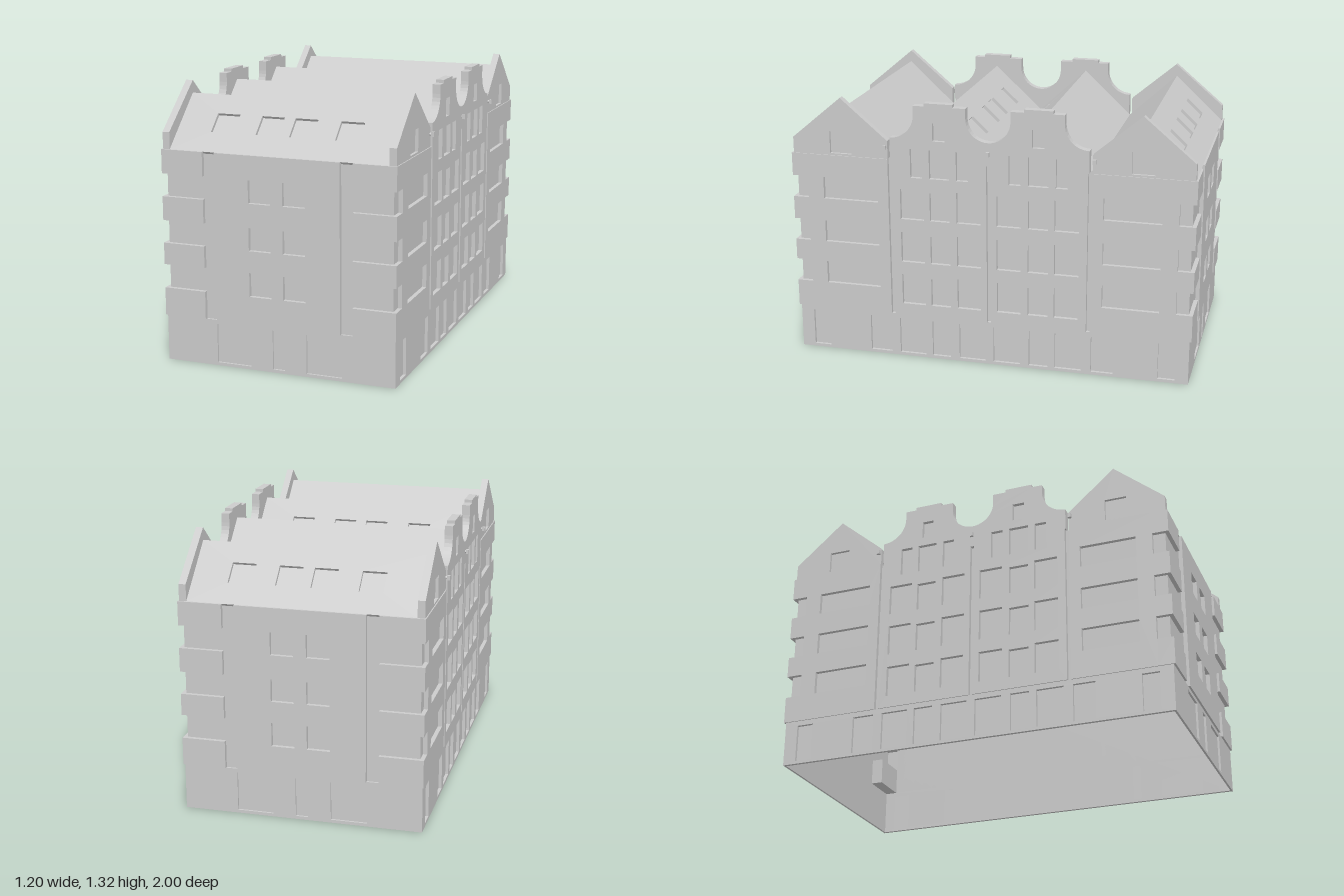
import * as THREE from 'three';

const mat = new THREE.MeshStandardMaterial({ color: 0xcccccc, flatShading: true, side: THREE.DoubleSide });
const GROUND = 0.225, EAVE = 1.03;
const ROWS = [[0.36, 0.475], [0.58, 0.69], [0.805, 0.915]];

function add(parent, name, geo, x = 0, y = 0, z = 0) {
  const m = new THREE.Mesh(geo, mat);
  m.name = name;
  m.position.set(x, y, z);
  parent.add(m);
  return m;
}

const rect = (x0, x1, y0, y1) => [[x0, y0], [x1, y0], [x1, y1], [x0, y1]];
const toShape = pts => new THREE.Shape(pts.map(p => new THREE.Vector2(p[0], p[1])));
// the same opening on both sides of the centre line
const pair = (x0, x1, y0, y1) => [rect(x0, x1, y0, y1), rect(-x1, -x0, y0, y1)];

// slab with openings; its outer face lies at z = face and it reaches inward by depth
function slab(parent, name, outline, holes, face, depth) {
  const shape = toShape(outline);
  holes.forEach(h => shape.holes.push(toShape(h)));
  const geo = new THREE.ExtrudeGeometry(shape, { depth, bevelEnabled: false });
  return add(parent, name, geo, 0, 0, face - depth);
}

const mirror = pts => pts.map(([x, y]) => [-x, y]);

// points along a circular arc
function arc(cx, cy, r, a0, a1, n = 10) {
  return Array.from({ length: n + 1 }, (_, i) => {
    const a = a0 + (a1 - a0) * i / n;
    return [cx + r * Math.cos(a), cy + r * Math.sin(a)];
  });
}

// curved, stepped gable line running from the centre joint to the outer joint
const steppedGable = [
  ...arc(0, 1.255, 0.11, -Math.PI / 2, 0),
  [0.11, 1.305], [0.175, 1.305], [0.175, 1.32], [0.315, 1.32], [0.315, 1.305], [0.37, 1.305],
  ...arc(0.49, 1.26, 0.12, Math.PI, Math.PI * 1.5),
];
const pointedGable = [[0.505, EAVE], [0.99, EAVE], [0.99, 1.11], [0.74, 1.32], [0.505, 1.12]];

function endFacade() {
  const g = new THREE.Group();
  g.name = 'endFacade';
  const doors = [rect(-0.03, 0.03, 0.015, 0.205), ...pair(0.14, 0.315, 0.015, 0.205)];
  slab(g, 'endGroundFloor', rect(-0.575, 0.575, 0, GROUND), doors, 0.99, 0.01);
  const windows = ROWS.flatMap(([a, b]) => pair(0.03, 0.14, a, b));
  slab(g, 'endCentrePanel', rect(-0.31, 0.31, GROUND, EAVE), windows, 1.0, 0.02);
  // projecting corner bands between the corner windows
  const levels = [GROUND, ...ROWS.flat(), EAVE];
  for (let i = 0; i < levels.length; i += 2) {
    const h = levels[i + 1] - levels[i];
    for (const s of [-1, 1])
      add(g, 'cornerBand', new THREE.BoxGeometry(0.21, h, 0.08), s * 0.475, levels[i] + h / 2, 0.96);
  }
  add(g, 'endInnerWall', new THREE.PlaneGeometry(1.12, EAVE), 0, EAVE / 2, 0.98);
  return g;
}

function sideFacade() {
  const g = new THREE.Group();
  g.name = 'sideFacade';
  const doors = [[0.02, 0.155], [0.2, 0.295], [0.33, 0.465], [0.51, 0.62], [0.84, 0.925]];
  slab(g, 'sideGroundFloor', rect(-0.98, 0.98, 0, GROUND),
    doors.flatMap(([a, b]) => pair(a, b, 0.015, 0.2)), 0.575, 0.015);
  add(g, 'sideInnerWall', new THREE.PlaneGeometry(1.96, EAVE), 0, EAVE / 2, 0.56);

  // middle house: three window rows, a smaller attic row and a gable window
  const midWindows = [0.285, 0.507, 0.73].flatMap(y => [
    rect(0.04, 0.16, y, y + 0.155), rect(0.195, 0.295, y, y + 0.142), rect(0.325, 0.445, y, y + 0.155)]);
  midWindows.push(rect(0.1, 0.16, 0.945, 1.09), rect(0.195, 0.295, 0.945, 1.09),
    rect(0.33, 0.39, 0.945, 1.09), rect(0.215, 0.275, 1.135, 1.225));
  const midWall = [[0.01, GROUND], [0.01, EAVE], [0, EAVE], ...steppedGable,
    [0.49, EAVE], [0.485, EAVE], [0.485, GROUND]];
  const midBack = [[0, EAVE], ...steppedGable, [0.49, EAVE]];
  const endWindows = ROWS.map(([a, b]) => rect(0.56, 0.84, a, b));
  const atticWindow = rect(0.69, 0.8, 1.04, 1.15);

  for (const flip of [p => p, mirror]) {
    slab(g, 'middleHouseFront', flip(midWall), midWindows.map(flip), 0.58, 0.02);
    slab(g, 'middleGableBack', flip(midBack), [], 0.56, 0.02);
    slab(g, 'endHouseSide', flip(rect(0.505, 0.92, GROUND, EAVE)), endWindows.map(flip), 0.58, 0.02);
    slab(g, 'endGable', flip(pointedGable), [flip(atticWindow)], 0.575, 0.015);
    slab(g, 'endGableBack', flip(pointedGable), [], 0.56, 0.02);
  }
  // small water spouts above the joints between houses
  for (const u of [-0.515, 0, 0.515]) {
    const spout = add(g, 'waterSpout', new THREE.CylinderGeometry(0.007, 0.007, 0.04, 10), u, 1.092, 0.575);
    spout.rotation.x = Math.PI / 2;
    add(g, 'spoutHead', new THREE.BoxGeometry(0.016, 0.022, 0.014), u, 1.092, 0.591);
  }
  return g;
}

// four roof slopes facing the same way, two of them with skylights
function roofSide() {
  const g = new THREE.Group();
  g.name = 'roofSide';
  const run = 0.2475, rise = 0.23, len = Math.hypot(run, rise);
  const skylights = [...pair(0.027, 0.14, 0.116, 0.225), ...pair(0.252, 0.367, 0.116, 0.225)];
  [0.99, 0.495, 0, -0.495].forEach((eave, i) => {
    const slope = new THREE.Group();
    slope.name = 'roofSlope';
    slope.position.set(0, EAVE, eave);
    slope.rotation.x = -Math.atan2(run, rise);
    slab(slope, 'roofTiles', rect(-0.54, 0.54, 0, len), i % 2 ? [] : skylights, 0, 0.015);
    add(slope, 'roofLining', new THREE.PlaneGeometry(1.08, len), 0, len / 2, -0.0152);
    g.add(slope);
  });
  return g;
}

export function createModel() {
  const model = new THREE.Group();
  model.name = 'townHouseBlock';
  for (const turn of [0, Math.PI]) {
    const end = endFacade(), side = sideFacade(), roof = roofSide();
    end.rotation.y = roof.rotation.y = turn;
    side.rotation.y = turn + Math.PI / 2;
    model.add(end, side, roof);
  }
  return model;
}
